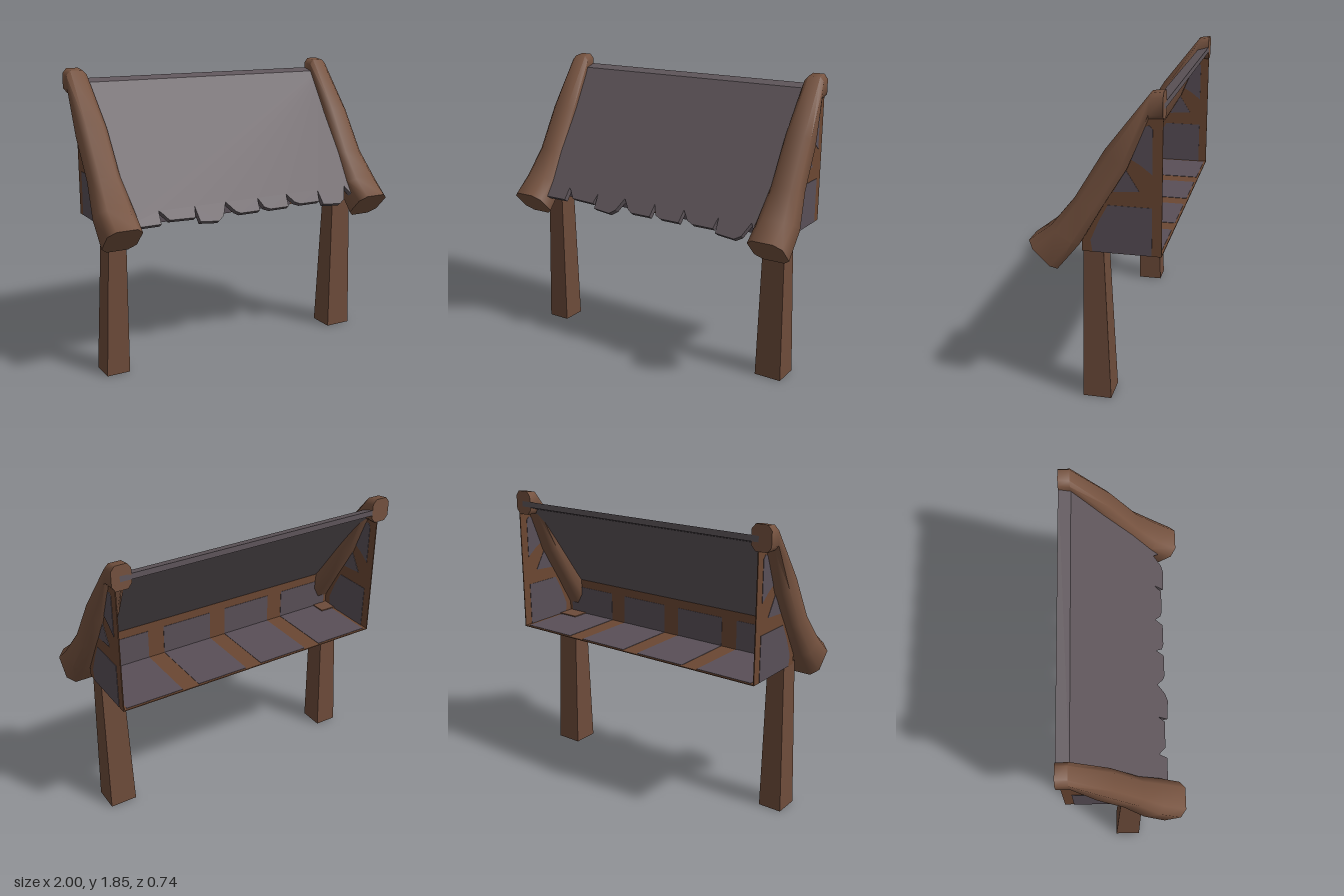
import * as THREE from 'three';
import { toCreasedNormals } from 'three/addons/utils/BufferGeometryUtils.js';

const mat = (name, color, side = THREE.FrontSide) => {
  const m = new THREE.MeshStandardMaterial({ color, side });
  m.name = name;
  return m;
};

// Skin a list of rings (arrays of [x, y, z]); faces are turned outward.
function loft(rings, crease, openStart = false) {
  const n = rings[0].length, tris = [];
  const centre = r => r.reduce((a, p) => a.map((v, i) => v + p[i] / n), [0, 0, 0]);
  for (let i = 0; i < rings.length - 1; i++)
    for (let j = 0; j < n; j++) {
      const k = (j + 1) % n, a = rings[i], b = rings[i + 1];
      tris.push([a[j], a[k], b[k]], [a[j], b[k], b[j]]);
    }
  const first = rings[0], last = rings[rings.length - 1];
  for (let j = 1; j < n - 1; j++) {
    if (!openStart) tris.push([first[0], first[j + 1], first[j]]);
    tris.push([last[0], last[j], last[j + 1]]);
  }
  const o = new THREE.Vector3(...centre(first));
  let volume = 0;
  for (const t of tris) {
    const [a, b, c] = t.map(p => new THREE.Vector3(...p).sub(o));
    volume += a.dot(b.cross(c));
  }
  if (volume < 0) tris.forEach(t => t.reverse());
  const g = new THREE.BufferGeometry();
  g.setAttribute('position', new THREE.Float32BufferAttribute(tris.flat(2), 3));
  g.computeVertexNormals();
  return crease ? toCreasedNormals(g, crease) : g;
}

export function createModel() {
  const model = new THREE.Group();
  const roofMat = mat('slate grey roof', 0x5f565b);
  const beamMat = mat('carved beam brown', 0x75523f);
  const postMat = mat('post brown', 0x6d4b3a, THREE.DoubleSide);
  const timberMat = mat('timber brown', 0x6b4732);
  const plasterMat = mat('plaster grey', 0x594f57);

  const add = (name, geometry, material, parent = model) => {
    const m = new THREE.Mesh(geometry, material);
    m.name = name;
    parent.add(m);
    return m;
  };
  const box = (name, material, x0, x1, y0, y1, z0, z1) =>
    add(name, new THREE.BoxGeometry(x1 - x0, y1 - y0, z1 - z0), material)
      .position.set((x0 + x1) / 2, (y0 + y1) / 2, (z0 + z1) / 2);

  // Roof slab with a ragged eave: [x, y] along the lower edge
  const eave = [
    [-0.9, 0.97], [-0.63, 0.97], [-0.625, 1.04], [-0.61, 1.03], [-0.57, 0.985], [-0.4, 0.98],
    [-0.385, 1.04], [-0.375, 0.955], [-0.25, 0.945], [-0.21, 0.97], [-0.17, 1.04], [-0.12, 0.985],
    [-0.09, 0.97], [0.05, 0.97], [0.06, 1.04], [0.09, 0.985], [0.13, 0.97], [0.265, 0.97],
    [0.275, 1.04], [0.32, 0.99], [0.36, 0.975], [0.505, 0.975], [0.52, 1.04], [0.53, 0.955],
    [0.66, 0.945], [0.7, 0.965], [0.74, 1.04], [0.78, 0.985], [0.87, 0.97]
  ];
  const down = new THREE.Vector3(0, -0.8, 0.565).normalize();
  const right = new THREE.Vector3(1, 0, 0);
  const ridge = [0, 1.765, -0.295];
  const slab = new THREE.Shape([
    [0.87, 0], [-0.9, 0], ...eave.map(([x, y]) => [x, (y - ridge[1]) / down.y])
  ].map(p => new THREE.Vector2(...p)));
  const roof = new THREE.ExtrudeGeometry(slab, { depth: 0.035, bevelEnabled: false });
  roof.applyMatrix4(new THREE.Matrix4()
    .makeBasis(right, down, right.clone().cross(down)).setPosition(...ridge));
  add('roof', roof, roofMat);

  // Nearly level strip behind the ridge
  const lip = x => [[x, 1.765, -0.295], [x, 1.785, -0.37], [x, 1.75, -0.37], [x, 1.73, -0.31]];
  add('roofRidge', loft([lip(-0.9), lip(0.87)]), roofMat);

  // Swelling gable beams: upper and lower [z, y] of each station
  const stations = [
    [[0.37, 0.99], [0.21, 0.83]], [[0.24, 1.09], [0.08, 0.99]], [[0.11, 1.25], [-0.04, 1.2]],
    [[-0.06, 1.53], [-0.18, 1.43]], [[-0.3, 1.84], [-0.29, 1.7]], [[-0.37, 1.85], [-0.37, 1.7]]
  ];
  const beamSides = {
    rightBeam: [[-1, -0.78], [-1, -0.78], [-0.98, -0.805], [-0.985, -0.815], [-0.98, -0.85], [-0.98, -0.855]],
    leftBeam: [[0.775, 1], [0.775, 1], [0.79, 0.967], [0.79, 0.955], [0.8, 0.925], [0.8, 0.92]]
  };
  // Chamfered section, u across and v from lower to upper
  const section = [[0.2, 0], [0.8, 0], [1, 0.2], [1, 0.8], [0.8, 1], [0.2, 1], [0, 0.8], [0, 0.2]];
  for (const [name, widths] of Object.entries(beamSides)) {
    const rings = stations.map(([up, low], i) => section.map(([u, v]) => [
      THREE.MathUtils.lerp(...widths[i], u),
      THREE.MathUtils.lerp(low[1], up[1], v),
      THREE.MathUtils.lerp(low[0], up[0], v)
    ]));
    add(name, loft(rings, 0.9), beamMat);
  }

  // Tapered posts, open underneath: [y, x0, x1, z0, z1]
  const posts = {
    rightPost: [[0, -0.94, -0.79, -0.06, 0.1], [0.945, -0.9, -0.79, -0.025, 0.105]],
    leftPost: [[0, 0.73, 0.905, -0.08, 0.09], [0.945, 0.75, 0.89, -0.04, 0.075]]
  };
  for (const [name, ends] of Object.entries(posts))
    add(name, loft(ends.map(([y, x0, x1, z0, z1]) =>
      [[x0, y, z0], [x1, y, z0], [x1, y, z1], [x0, y, z1]]), 0, true), postMat);

  // Side walls: timber sheet with plaster infill showing on both faces, outlines in [z, y]
  const sheet = (points, thickness, x) => new THREE.ExtrudeGeometry(
    new THREE.Shape(points.map(p => new THREE.Vector2(...p))), { depth: thickness, bevelEnabled: false })
    .translate(0, 0, -thickness / 2).rotateY(-Math.PI / 2).translate(x, 0, 0);
  const gable = [[-0.37, 0.93], [0.08, 0.93], [0.08, 1.18], [-0.29, 1.71], [-0.37, 1.74]];
  const infills = [
    [[-0.315, 0.932], [0.02, 0.932], [0.03, 1], [-0.02, 1.12], [-0.07, 1.212], [-0.315, 1.212]],
    [[-0.245, 1.3], [-0.1, 1.29], [-0.17, 1.42]],
    [[-0.315, 1.4], [-0.25, 1.45], [-0.18, 1.49], [-0.26, 1.655], [-0.295, 1.67], [-0.315, 1.65]]
  ];
  for (const [side, x] of [['left', 0.9], ['right', -0.9]]) {
    add(side + 'WallTimber', sheet(gable, 0.006, x), timberMat);
    infills.forEach(p => add(side + 'WallPlaster', sheet(p, 0.011, x), plasterMat));
  }

  // Floor and front wall: timber sheets divided into four plaster bays
  box('floorTimber', timberMat, -0.9, 0.9, 0.93, 0.936, -0.37, 0.08);
  box('frontWallTimber', timberMat, -0.9, 0.9, 0.93, 1.18, 0.074, 0.08);
  for (let i = 0; i < 4; i++) {
    const x0 = i === 0 ? -0.875 : -0.9 + i * 0.45 + 0.055;
    const x1 = i === 3 ? 0.875 : -0.45 + i * 0.45 - 0.055;
    box('floorPlaster', plasterMat, x0, x1, 0.9275, 0.9385, -0.357, 0.078);
    box('frontWallPlaster', plasterMat, x0, x1, 0.931, 1.125, 0.0715, 0.0825);
  }
  return model;
}
